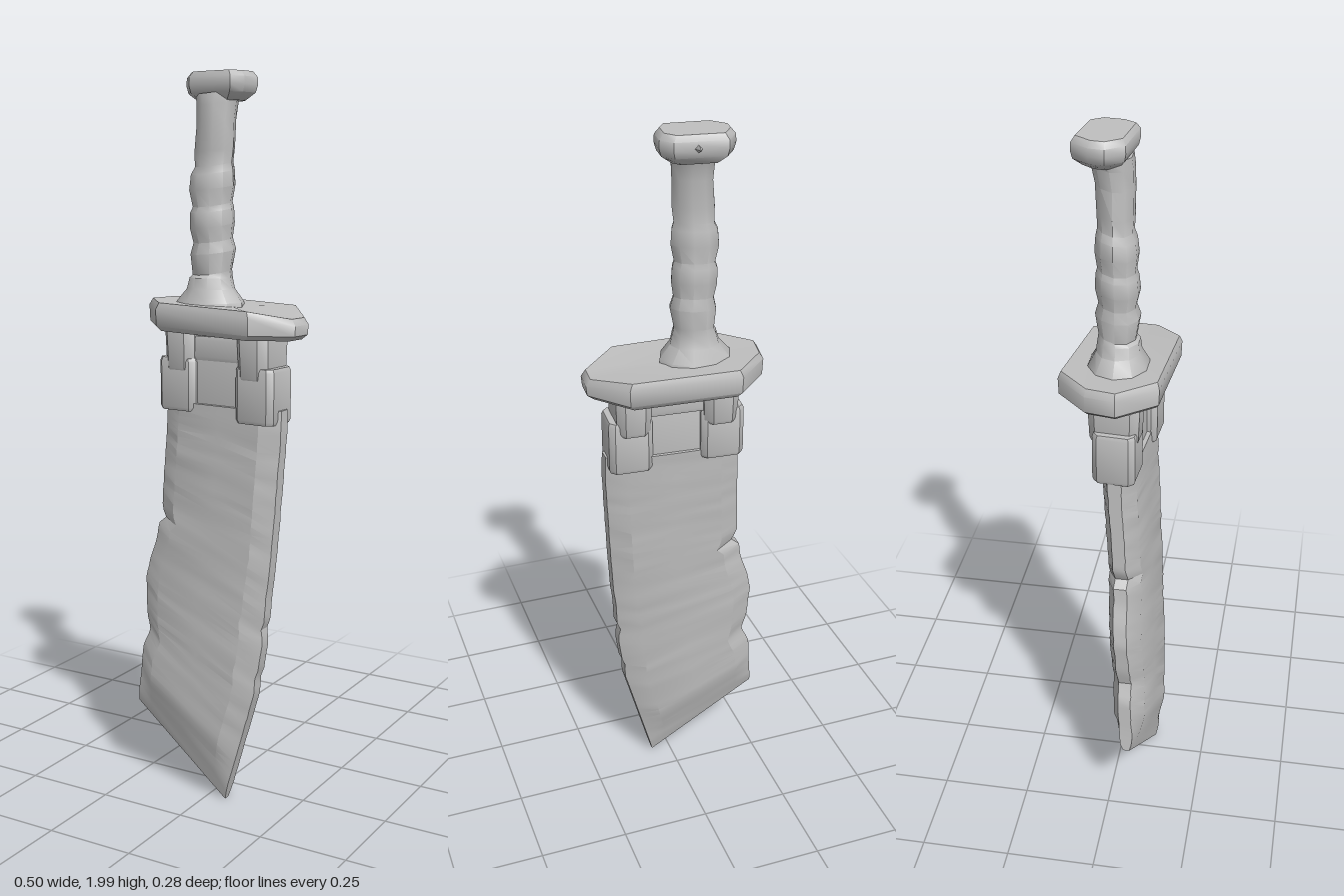
import * as THREE from 'three';
import { toCreasedNormals } from 'three/addons/utils/BufferGeometryUtils.js';

const steel = new THREE.MeshStandardMaterial({ color: 0xbfbfbf });
steel.name = 'worn steel';

// Closed skin over equal-sized rings, listed bottom to top, each turning from +x to +z.
function loft(rings, crease = 0.6) {
  const n = rings[0].length, pos = [], idx = [];
  rings.forEach(r => r.forEach(p => pos.push(...p)));
  for (let i = 0; i < rings.length - 1; i++) {
    for (let j = 0; j < n; j++) {
      const a = i * n + j, b = i * n + (j + 1) % n;
      idx.push(a, a + n, b + n, a, b + n, b);
    }
  }
  [0, rings.length - 1].forEach(i => {
    const c = pos.length / 3;
    pos.push(...[0, 1, 2].map(k => rings[i].reduce((s, p) => s + p[k], 0) / n));
    for (let j = 0; j < n; j++) {
      const a = i * n + j, b = i * n + (j + 1) % n;
      if (i) idx.push(c, b, a); else idx.push(c, a, b);
    }
  });
  const g = new THREE.BufferGeometry();
  g.setAttribute('position', new THREE.Float32BufferAttribute(pos, 3));
  g.setIndex(idx);
  return toCreasedNormals(g.toNonIndexed(), crease);
}

// Piecewise linear lookup in [key, value] pairs with rising keys.
function lookup(table, k) {
  for (let i = 1; i < table.length; i++) {
    const [k0, v0] = table[i - 1], [k1, v1] = table[i];
    if (k <= k1) return v0 + (v1 - v0) * Math.max(0, (k - k0) / (k1 - k0));
  }
  return table[table.length - 1][1];
}

let seed = 7;
function jitter(a) {
  seed = (seed * 16807) % 2147483647;
  return (seed / 2147483647 - 0.5) * 2 * a;
}

// The blade leans forward towards its tip and is turned slightly.
const bladeZ = (x, y) => 0.02 + 0.068 * (1.1 - y) / 1.1 + 0.075 * x;

function bladeGeometry() {
  const left = [[0.23, -0.255], [0.3, -0.247], [0.4, -0.24], [0.45, -0.215], [0.5, -0.228], [0.6, -0.235],
    [0.66, -0.222], [0.72, -0.2], [0.775, -0.192], [0.79, -0.162], [0.81, -0.185], [1.12, -0.172]];
  const right = [[0.01, 0.055], [0.35, 0.148], [0.37, 0.138], [0.39, 0.152], [0.49, 0.166], [0.51, 0.155],
    [0.54, 0.168], [0.62, 0.172], [0.66, 0.178], [0.8, 0.187], [1.06, 0.2], [1.12, 0.198]];
  const rings = [], rows = 48;
  for (let i = 0; i <= rows; i++) {
    const s = i / rows;
    const yl = 0.23 + 0.89 * s, yr = 0.01 + 1.11 * s;
    const xl = lookup(left, yl), xr = lookup(right, yr);
    const h = 0.045 * Math.min(1, 0.2 + s / 0.16), e = Math.min(0.018, h);
    const section = [[0, -e], [0.15, -h], [0.5, -h], [0.85, -h], [1, -e],
      [1, e], [0.85, h], [0.5, h], [0.15, h], [0, e]];
    rings.push(section.map(([t, d]) => {
      const x = xl + (xr - xl) * t, y = yl + (yr - yl) * t;
      return [x, y, bladeZ(x, y) + d + (i ? jitter(0.0015) : 0)];
    }));
  }
  return loft(rings, 0.45);
}

// Block with chamfered upright edges, slightly flared from bottom to top.
function blockGeometry(w, h, d, c = 0.015, flare = 1) {
  const a = w / 2, b = d / 2;
  const plan = [[-a, -b + c], [-a + c, -b], [a - c, -b], [a, -b + c], [a, b - c], [a - c, b], [-a + c, b], [-a, b - c]];
  const layers = [[-h / 2, 0.94], [-h / 2 + 0.01, 1], [h / 2 - 0.01, flare], [h / 2, flare * 0.94]];
  return loft(layers.map(([y, s]) => plan.map(([x, z]) => [x * s, y, z * s])));
}

// Eight-sided guard plate, its right end drooping.
function guardGeometry() {
  const plan = [[-0.22, -0.06], [-0.13, -0.145], [0.165, -0.11], [0.25, 0],
    [0.245, 0.065], [0.145, 0.14], [-0.15, 0.12], [-0.235, 0.02]];
  const layers = [[1.322, 0.92], [1.335, 0.99], [1.38, 1], [1.398, 0.95]];
  return loft(layers.map(([y, s]) => plan.map(([x, z]) =>
    [x * s, y - (x + 0.23) * 0.03 - (x > 0.2 && y > 1.36 ? 0.018 : 0), z * s])), 0.7);
}

// Grip with uneven wrapped bands: y, centre x, centre z, radius x, radius z.
function gripGeometry() {
  const bands = [
    [1.37, -0.05, 0.0, 0.1, 0.083], [1.395, -0.05, 0.0, 0.098, 0.08], [1.43, -0.048, 0.0, 0.068, 0.06],
    [1.46, -0.047, 0.0, 0.06, 0.056], [1.475, -0.045, -0.003, 0.055, 0.05], [1.53, -0.042, -0.003, 0.063, 0.059],
    [1.56, -0.043, -0.004, 0.055, 0.049], [1.6, -0.045, -0.003, 0.062, 0.058], [1.64, -0.046, -0.004, 0.061, 0.055],
    [1.655, -0.045, -0.005, 0.055, 0.05], [1.7, -0.046, -0.005, 0.065, 0.056], [1.74, -0.045, -0.006, 0.062, 0.052],
    [1.76, -0.042, -0.008, 0.054, 0.046], [1.8, -0.04, -0.008, 0.057, 0.048], [1.87, -0.036, -0.01, 0.054, 0.05],
    [1.92, -0.035, -0.016, 0.057, 0.055], [1.95, -0.035, -0.025, 0.065, 0.06]];
  return loft(bands.map(([y, cx, cz, rx, rz], i) => Array.from({ length: 10 }, (_, j) => {
    const a = j / 10 * Math.PI * 2;
    return [cx + rx * Math.cos(a), y + (i > 3 ? 0.008 * Math.cos(a + 1) : 0), cz + rz * Math.sin(a)];
  })), 0.7);
}

// Faceted pommel cap.
function pommelGeometry() {
  const plan = [[-0.13, -0.06], [-0.095, -0.108], [0.04, -0.09], [0.065, -0.055],
    [0.058, 0.005], [0.035, 0.04], [-0.1, 0.025], [-0.135, -0.02]];
  const layers = [[1.925, 0.66], [1.945, 0.94], [1.965, 1], [1.985, 0.99], [2, 0.86]];
  return loft(layers.map(([y, s]) => plan.map(([x, z]) =>
    [-0.035 + (x + 0.035) * s, y, -0.033 + (z + 0.033) * s])), 0.7);
}

export function createModel() {
  const sword = new THREE.Group();
  sword.name = 'sword';
  const add = (name, geometry, x = 0, y = 0, z = 0, yaw = 0) => {
    const mesh = new THREE.Mesh(geometry, steel);
    mesh.name = name;
    mesh.position.set(x, y, z);
    mesh.rotation.y = yaw;
    sword.add(mesh);
  };

  add('blade', bladeGeometry());
  add('guard', guardGeometry());
  add('grip', gripGeometry());
  add('pommel', pommelGeometry());
  // Small chip sticking out behind the pommel
  const chip = new THREE.ConeGeometry(0.018, 0.04, 4);
  chip.rotateX(-Math.PI / 2);
  add('pommelChip', chip, -0.02, 1.968, -0.098);

  // Clamps gripping the blade shoulders and the tangs rising into the guard
  const yaw = -0.07;
  add('rightClamp', blockGeometry(0.12, 0.145, 0.115), -0.12, 1.17, 0.008, yaw);
  add('leftClamp', blockGeometry(0.12, 0.15, 0.115), 0.132, 1.157, 0.03, yaw);
  add('rightTang', blockGeometry(0.092, 0.14, 0.13, 0.02, 1.08), -0.113, 1.275, 0.003, yaw);
  add('leftTang', blockGeometry(0.092, 0.14, 0.13, 0.02, 1.08), 0.125, 1.265, 0.024, yaw);
  // Recessed plate and crossbar between the tangs
  add('centrePlate', blockGeometry(0.16, 0.18, 0.07, 0.005), 0.005, 1.16, 0.018, yaw);
  add('crossbar', blockGeometry(0.17, 0.065, 0.085, 0.008), 0.005, 1.272, 0.014, yaw);
  return sword;
}
